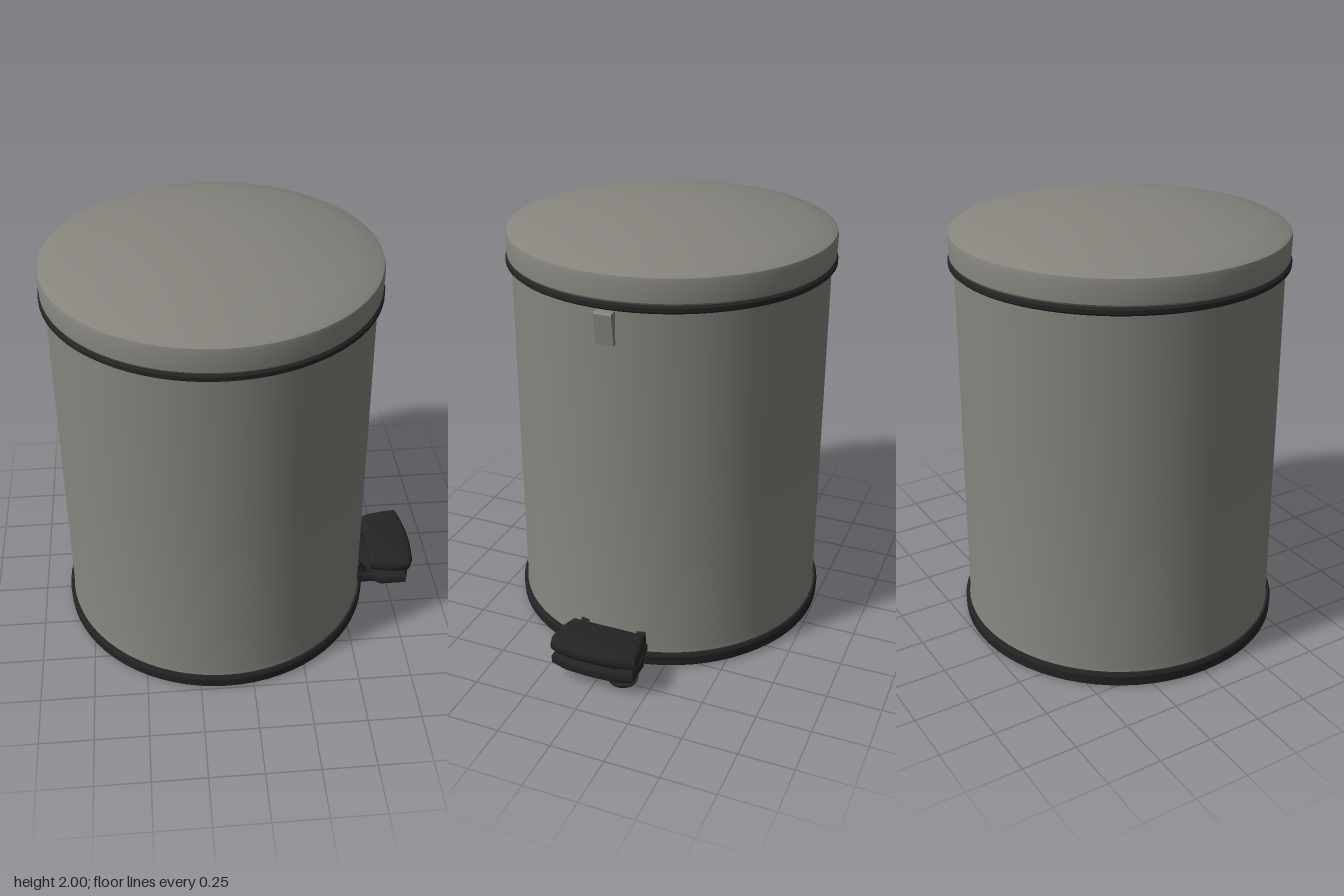
import * as THREE from 'three';
import { toCreasedNormals } from 'three/addons/utils/BufferGeometryUtils.js';

export function createModel() {
  const steel = new THREE.MeshStandardMaterial({ color: 0x86847d });
  steel.name = 'brushed steel';
  const black = new THREE.MeshStandardMaterial({ color: 0x242424 });
  black.name = 'black plastic';

  const model = new THREE.Group();
  model.name = 'pedalBin';
  const CX = -0.125; // axis of the round bin

  const add = (name, geometry, material, x = 0, y = 0, z = 0) => {
    const mesh = new THREE.Mesh(geometry, material);
    mesh.name = name;
    mesh.position.set(x, y, z);
    model.add(mesh);
    return mesh;
  };

  // Round part from a [radius, height] profile, listed bottom to top
  const turned = (name, profile, material) => {
    const points = profile.map(([r, y]) => new THREE.Vector2(r, y));
    return add(name, toCreasedNormals(new THREE.LatheGeometry(points, 72), 0.5), material, CX);
  };

  // Horizontal slab with a bevelled rim, from an [x, z] outline
  const slab = (name, outline, y0, y1, bevel) => {
    const shape = new THREE.Shape(outline.map(([x, z]) => new THREE.Vector2(x, -z)));
    const geometry = new THREE.ExtrudeGeometry(shape, {
      depth: y1 - y0 - 2 * bevel, bevelEnabled: true, bevelThickness: bevel,
      bevelSize: bevel, bevelOffset: -bevel, bevelSegments: 3,
    });
    geometry.rotateX(-Math.PI / 2);
    return add(name, toCreasedNormals(geometry, 0.7), black, 0, y0 + bevel, 0);
  };

  // Base and body
  turned('base', [[0, 0], [0.735, 0], [0.748, 0.012], [0.75, 0.055], [0.742, 0.07], [0, 0.07]], black);
  turned('body', [[0.732, 0.065], [0.728, 0.1], [0.726, 1.0], [0.724, 1.75]], steel);

  // Rubber rim under the lid
  turned('rim', [[0.7, 1.738], [0.74, 1.738], [0.75, 1.747], [0.75, 1.764], [0.74, 1.774], [0.7, 1.774]], black);

  // Domed lid
  turned('lid', [
    [0.7, 1.772], [0.738, 1.772], [0.744, 1.782], [0.746, 1.87], [0.741, 1.888], [0.725, 1.897],
    [0.62, 1.925], [0.5, 1.952], [0.38, 1.974], [0.25, 1.99], [0.12, 1.998], [0, 2],
  ], steel);

  // Small slanted stop below the lid on the pedal side
  const stop = new THREE.Shape();
  [[0.58, 1.73], [0.58, 1.585], [0.618, 1.585], [0.637, 1.722], [0.63, 1.73]].forEach(
    ([x, y], i) => (i ? stop.lineTo(x, y) : stop.moveTo(x, y)));
  add('lidStop', new THREE.ExtrudeGeometry(stop, { depth: 0.08, bevelEnabled: false }), steel, 0, 0, -0.04);

  // Bracket joining the pedal to the body
  const bracket = new THREE.Shape();
  [[0.58, 0.06], [0.7, 0.06], [0.7, 0.125], [0.635, 0.13], [0.595, 0.175], [0.58, 0.175]].forEach(
    ([x, y], i) => (i ? bracket.lineTo(x, y) : bracket.moveTo(x, y)));
  for (const z of [-0.16, 0.12]) {
    add('pedalBracket', new THREE.ExtrudeGeometry(bracket, { depth: 0.04, bevelEnabled: false }), black, 0, 0, z);
  }

  // Lower pedal plate
  slab('pedalArm', [
    [0.59, -0.17], [0.66, -0.18], [0.7, -0.2], [0.83, -0.2], [0.855, -0.12], [0.86, 0],
    [0.855, 0.12], [0.83, 0.2], [0.7, 0.2], [0.66, 0.17], [0.59, 0.17],
  ], 0.068, 0.125, 0.015);

  // Neck and foot pad
  slab('pedalNeck', [[0.69, -0.12], [0.83, -0.12], [0.83, 0.12], [0.69, 0.12]], 0.11, 0.175, 0.012);
  slab('pedalPad', [
    [0.645, -0.18], [0.7, -0.2], [0.78, -0.215], [0.845, -0.22], [0.86, -0.16], [0.873, -0.06], [0.875, 0.04],
    [0.865, 0.15], [0.845, 0.195], [0.81, 0.207], [0.72, 0.2], [0.645, 0.175],
  ], 0.15, 0.217, 0.026);

  // Stub foot under the pedal
  add('footPost', new THREE.CylinderGeometry(0.03, 0.03, 0.06, 20), black, 0.755, 0.055, -0.12);
  add('footDisc', new THREE.CylinderGeometry(0.07, 0.065, 0.012, 28), black, 0.755, 0.028, -0.12);

  return model;
}
